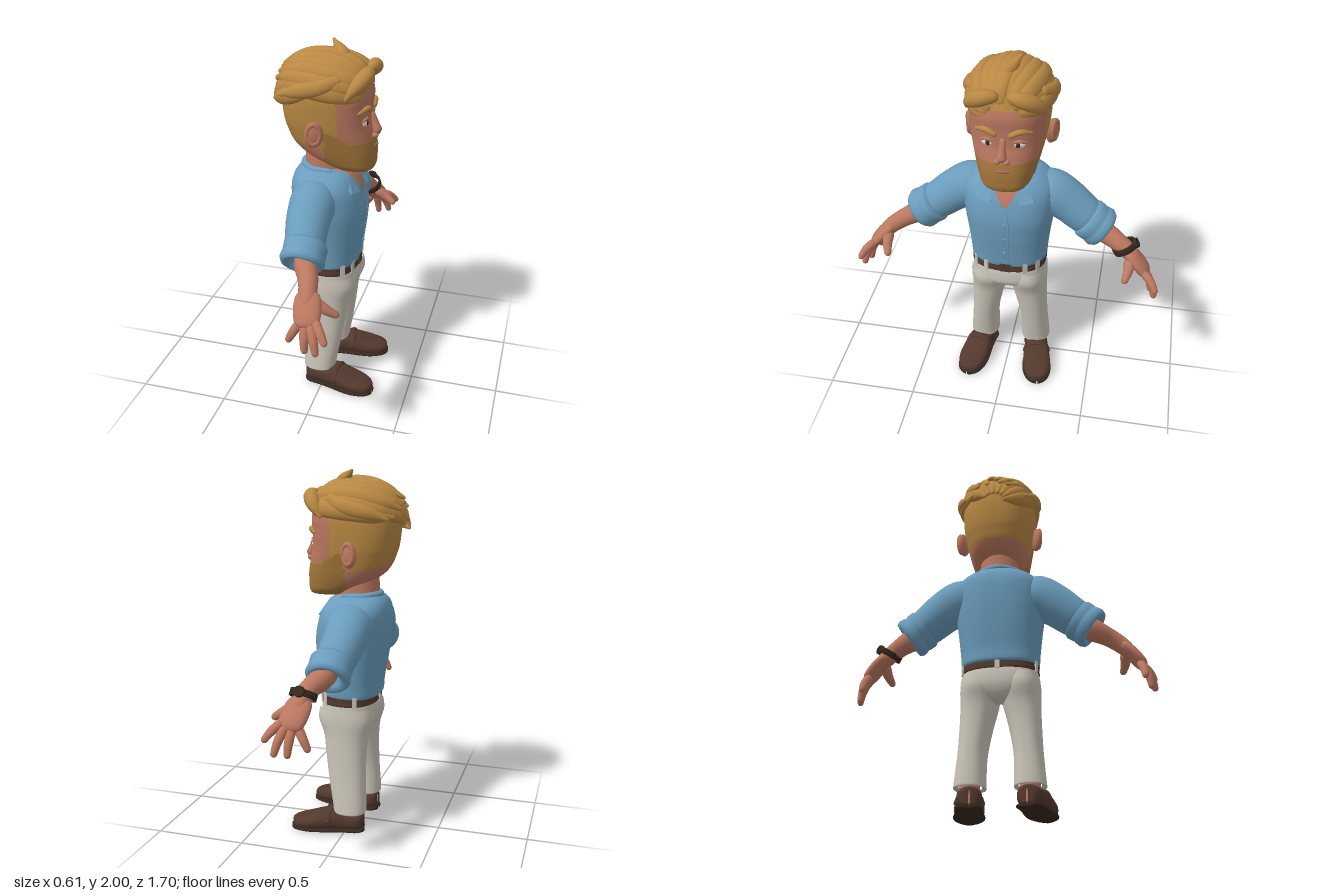
import * as THREE from 'three';
import { ConvexGeometry } from 'three/addons/geometries/ConvexGeometry.js';

const V = (x, y, z) => new THREE.Vector3(x, y, z);
const paint = (name, color) => Object.assign(new THREE.MeshStandardMaterial({ color }), { name });
const skin = paint('skin', 0xbb7860), hair = paint('hair', 0xb98843), beard = paint('beard', 0xa5773a);
const shirt = paint('shirt', 0x6b9dbd), trousers = paint('trousers', 0xcac5b9), leather = paint('leather', 0x53392d);
const dark = paint('dark', 0x35281f), white = paint('eyeWhite', 0xe6dfd8), lip = paint('lip', 0xa8635a);

// Closed-round surface: fn(u, angle) gives a point; pick(point) gives a material index
function surface(nu, nv, fn, pick = () => 0, parts = 1) {
  const pos = [], sets = Array.from({ length: parts }, () => []);
  for (let i = 0; i <= nu; i++)
    for (let j = 0; j < nv; j++) pos.push(...fn(i / nu, j / nv * Math.PI * 2).toArray());
  const at = k => V(pos[k * 3], pos[k * 3 + 1], pos[k * 3 + 2]);
  for (let i = 0; i < nu; i++) for (let j = 0; j < nv; j++) {
    const k = (j + 1) % nv, a = i * nv + j, b = a + nv, c = i * nv + k, d = c + nv;
    const mid = at(a).add(at(d)).multiplyScalar(0.5);
    sets[pick(mid)].push(a, b, c, c, b, d);
  }
  const g = new THREE.BufferGeometry();
  g.setAttribute('position', new THREE.Float32BufferAttribute(pos, 3));
  g.setIndex(sets.flat());
  let start = 0;
  if (parts > 1) sets.forEach((s, m) => { g.addGroup(start, s.length, m); start += s.length; });
  g.computeVertexNormals();
  return g;
}

// Smooth interpolation through rows of numbers
function sample(rows, u) {
  const n = rows.length - 1, f = Math.min(u * n, n - 1e-6), i = Math.floor(f), t = f - i;
  const r = k => rows[Math.max(0, Math.min(n, k))];
  return rows[0].map((_, q) => {
    const [a, b, c, d] = [r(i - 1)[q], r(i)[q], r(i + 1)[q], r(i + 2)[q]];
    return b + 0.5 * t * (c - a + t * (2 * a - 5 * b + 4 * c - d + t * (3 * (b - c) + d - a)));
  });
}
const sup = (v, p) => Math.sign(v) * Math.abs(v) ** (2 / p);

// Upright form from rows of [y, half width, back z, front z, centre x]
function loft(rows, { p = 2.3, nu = 30, nv = 40, s = 1, pick, parts } = {}) {
  return surface(nu, nv, (u, a) => {
    const [y, w, zb, zf, cx = 0] = sample(rows, u);
    return V(cx * s + w * sup(Math.cos(a), p), y, (zb + zf) / 2 + (zf - zb) / 2 * sup(Math.sin(a), p));
  }, pick, parts);
}

// Round-ended limb along a curve; wide stretches it sideways to ref
function limb(points, radii, { wide = 1, ref = () => V(0, 0.3, 1), nu = 18, nv = 14 } = {}) {
  const curve = new THREE.CatmullRomCurve3(points), len = curve.getLength(), rows = radii.map(r => [r]);
  return surface(nu, nv, (u, a) => {
    const t = (1 - Math.cos(u * Math.PI)) / 2, c = curve.getPointAt(t), T = curve.getTangentAt(t);
    const side = T.clone().cross(ref(c)).normalize(), up = side.clone().cross(T);
    let r = sample(rows, t)[0];
    const k = Math.min(1, Math.min(t, 1 - t) * len / r);
    r *= Math.sqrt(Math.max(1e-6, 1 - (1 - k) ** 2));
    return c.addScaledVector(side, Math.cos(a) * r * wide).addScaledVector(up, Math.sin(a) * r);
  });
}

export function createModel() {
  const model = new THREE.Group(), body = new THREE.Group();
  model.name = 'man'; body.name = 'body';
  body.rotation.y = Math.PI / 2;
  model.add(body);
  const add = (name, geo, mat, pos) => {
    const m = new THREE.Mesh(geo, mat);
    m.name = name;
    if (pos) m.position.set(...pos);
    body.add(m);
    return m;
  };
  const ball = (name, mat, pos, size) => {
    const m = add(name, new THREE.SphereGeometry(1, 24, 16), mat, pos);
    m.scale.set(...size);
    return m;
  };

  // Head with cropped sides and beard
  const headPick = q => {
    if (q.z > 0.01 && q.y < 1.505 + Math.max(0, 0.15 - q.z) * 0.6 && q.y > 1.3) return 2;
    if (q.y > 1.8 || (q.z < 0.085 && q.y > 1.47 + Math.max(0, -q.z) * 0.15)) return 1;
    return 0;
  };
  add('head', loft([[1.33, 0.01, 0.14, 0.17], [1.335, 0.09, 0.06, 0.23], [1.36, 0.128, 0, 0.247], [1.4, 0.148, -0.09, 0.25],
    [1.45, 0.165, -0.165, 0.25], [1.5, 0.178, -0.205, 0.242], [1.55, 0.19, -0.225, 0.232], [1.6, 0.2, -0.24, 0.222],
    [1.68, 0.208, -0.25, 0.222], [1.75, 0.21, -0.25, 0.225], [1.82, 0.2, -0.24, 0.205], [1.88, 0.16, -0.2, 0.16],
    [1.92, 0.1, -0.12, 0.1], [1.925, 0.01, -0.02, 0]], { p: 2.5, nu: 78, nv: 96, pick: headPick, parts: 3 }), [skin, hair, beard]);
  add('neck', new THREE.CylinderGeometry(0.11, 0.12, 0.26, 32), skin, [0, 1.32, -0.025]);
  add('nose', limb([V(0, 1.65, 0.215), V(0, 1.6, 0.235), V(0, 1.53, 0.256)], [0.016, 0.019, 0.029]), skin);
  add('mouth', limb([V(-0.06, 1.462, 0.231), V(0, 1.468, 0.247), V(0.06, 1.462, 0.231)], [0.007, 0.01, 0.007]), lip);
  for (const s of [-1, 1]) {
    ball('nostril', skin, [0.024 * s, 1.527, 0.243], [0.017, 0.015, 0.02]);
    ball('eye', white, [0.08 * s, 1.612, 0.205], [0.032, 0.019, 0.012]).rotation.y = 0.2 * s;
    ball('iris', dark, [0.077 * s, 1.612, 0.214], [0.013, 0.014, 0.006]).rotation.y = 0.2 * s;
    add('eyelid', limb([V(0.04 * s, 1.62, 0.212), V(0.08 * s, 1.634, 0.211), V(0.12 * s, 1.622, 0.196)], [0.006, 0.01, 0.006]), skin);
    add('eyebrow', limb([V(0.03 * s, 1.662, 0.222), V(0.085 * s, 1.69, 0.216), V(0.145 * s, 1.672, 0.178)], [0.015, 0.016, 0.008]), hair);
    const ear = ball('ear', skin, [0.215 * s, 1.57, -0.03], [0.024, 0.07, 0.05]);
    ear.rotation.y = -0.45 * s;
    const rim = add('earRim', new THREE.TorusGeometry(0.04, 0.012, 8, 24), skin, [0.228 * s, 1.575, -0.03]);
    rim.rotation.y = Math.PI / 2 - 0.35 * s;
    rim.scale.set(0.85, 1.3, 1);
  }

  // Swept-back hair: a cap with overlapping locks
  const cap = ball('hairCap', hair, [0, 1.765, -0.025], [0.218, 0.168, 0.25]);
  cap.geometry = new THREE.SphereGeometry(1, 40, 20, 0, Math.PI * 2, 0, 1.5);
  cap.material = hair;
  cap.rotation.x = -0.15;
  const centre = V(0, 1.76, -0.025), outward = c => c.clone().sub(centre);
  const over = (a, f, k) => V(0.208 * k * Math.sin(a) * Math.sin(f), 0.172 * k * Math.cos(a) * Math.sin(f), 0.25 * k * Math.cos(f)).add(centre);
  for (let i = 0; i < 11; i++) {
    const a = (i - 5) * 0.275, end = 2.66 + 0.12 * Math.sin(i * 2.4), lift = 1 + 0.03 * (i % 3);
    const path = [0.36, 0.75, 1.25, 1.8, 2.3, end].map((f, k) => over(a + (f - 1.5) * 0.18, f, [0.95, 1, 0.99, 0.99, 1, 1.06][k] * (k ? lift : 1)));
    add('hairLock', limb(path, [0.022, 0.03, 0.032, 0.03, 0.026, 0.008], { wide: 1.5, ref: outward, nu: 26 }), hair);
  }
  for (let i = 0; i < 7; i++) {
    const a = (i - 3) * 0.42;
    const path = [1.7, 2.15, 2.6, 2.9].map((f, k) => over(a - (f - 1.5) * 0.25, f, [0.97, 1, 1.03, 1.1][k]).add(V(0, -0.022 * k, 0)));
    add('backLock', limb(path, [0.03, 0.036, 0.03, 0.008], { wide: 1.4, ref: outward }), hair);
  }
  add('crownTuft', limb([V(-0.03, 1.92, 0.09), V(0.01, 1.95, 0.05), V(0.06, 2.0, -0.005)], [0.04, 0.032, 0.006], { ref: outward }), hair);
  for (const s of [-1, 1]) {
    add('fringe', limb([V(0.02 * s, 1.87, 0.2), V(0.09 * s, 1.865, 0.212), V(0.165 * s, 1.82, 0.175), V(0.2 * s, 1.755, 0.125)],
      [0.026, 0.042, 0.036, 0.008], { ref: outward }), hair);
    add('sideLock', limb([V(0.17 * s, 1.86, 0.1), V(0.215 * s, 1.82, 0), V(0.21 * s, 1.79, -0.12), V(0.17 * s, 1.75, -0.23)],
      [0.02, 0.028, 0.026, 0.006], { wide: 1.4, ref: outward }), hair);
  }

  // Shirt with an open neck
  add('shirt', loft([[0.775, 0.19, -0.14, 0.155], [0.785, 0.212, -0.155, 0.17], [0.85, 0.218, -0.16, 0.178], [0.92, 0.225, -0.172, 0.187],
    [1.0, 0.235, -0.185, 0.197], [1.1, 0.248, -0.197, 0.202], [1.2, 0.252, -0.202, 0.184], [1.26, 0.24, -0.198, 0.16],
    [1.305, 0.2, -0.18, 0.13], [1.335, 0.14, -0.145, 0.09], [1.34, 0.08, -0.1, 0.05]],
  { p: 2.4, nu: 70, nv: 120, pick: q => (q.z > 0.03 && q.y > 1.18 && Math.abs(q.x) < (q.y - 1.18) * 0.62 ? 1 : 0), parts: 2 }), [shirt, skin]);
  for (const y of [0.89, 0.99, 1.09]) ball('button', shirt, [0, y, 0.193 + (y - 0.99) * 0.07], [0.009, 0.009, 0.008]);
  add('placket', limb([V(0.022, 0.79, 0.17), V(0.022, 1, 0.197), V(0.022, 1.1, 0.202), V(0.01, 1.18, 0.19)], [0.003, 0.003, 0.003, 0.003]), shirt);
  for (const s of [-1, 1]) {
    const flap = [[0.13, 1.352, 0.02], [0.155, 1.235, 0.16], [0.078, 1.218, 0.185], [0.075, 1.32, 0.115]];
    add('collarFlap', new ConvexGeometry(flap.flatMap(([x, y, z]) => [V(x * s, y, z), V(x * s, y - 0.008, z - 0.016)])), shirt);
  }
  add('collarBand', limb([V(-0.125, 1.335, 0.04), V(-0.11, 1.337, -0.08), V(0, 1.34, -0.145), V(0.11, 1.337, -0.08), V(0.125, 1.335, 0.04)],
    [0.015, 0.018, 0.018, 0.018, 0.015], { ref: () => V(0, 1, 0), nu: 30 }), shirt);

  // Trousers, belt and loops
  add('hips', loft([[0.56, 0.02, -0.05, 0.05], [0.585, 0.1, -0.11, 0.1], [0.64, 0.195, -0.14, 0.165], [0.7, 0.21, -0.145, 0.172],
    [0.76, 0.205, -0.135, 0.16], [0.785, 0.19, -0.125, 0.15]], { p: 2.4 }), trousers);
  add('belt', loft([[0.738, 0.195, -0.125, 0.145], [0.74, 0.211, -0.143, 0.167], [0.77, 0.211, -0.142, 0.167],
    [0.8, 0.211, -0.142, 0.167], [0.802, 0.195, -0.125, 0.145]], { p: 2.4, nv: 60 }), leather);
  for (const a of [0.65, 1.1, 2.05, 2.5, 3.5, 4.71, 5.9]) {
    const x = 0.211 * sup(Math.cos(a), 2.4), z = 0.012 + 0.155 * sup(Math.sin(a), 2.4);
    add('beltLoop', new THREE.BoxGeometry(0.026, 0.075, 0.012), trousers, [x, 0.768, z]).rotation.y = Math.PI / 2 - a;
  }
  add('buckle', new THREE.BoxGeometry(0.06, 0.055, 0.012), leather, [0, 0.77, 0.168]);

  for (const s of [-1, 1]) {
    // Leg and ankle
    add('trouserLeg', loft([[0.125, 0.06, -0.09, 0.05, 0.155], [0.115, 0.083, -0.11, 0.07, 0.157], [0.15, 0.083, -0.112, 0.075, 0.156],
      [0.3, 0.078, -0.105, 0.1, 0.148], [0.45, 0.088, -0.105, 0.122, 0.131], [0.56, 0.101, -0.115, 0.138, 0.116],
      [0.65, 0.108, -0.14, 0.17, 0.111], [0.72, 0.1, -0.13, 0.16, 0.113]], { s }), trousers);
    add('ankle', new THREE.CylinderGeometry(0.055, 0.055, 0.14, 20), skin, [0.157 * s, 0.1, -0.03]);

    // Loafer: rows of [z, half width, height]
    const foot = new THREE.Group();
    foot.name = 'shoe';
    foot.position.set(0.163 * s, 0, 0);
    foot.rotation.y = 0.17 * s;
    const shoe = (name, rows, mat, base) => {
      const m = new THREE.Mesh(surface(30, 28, (u, a) => {
        const [z, w, h] = sample(rows, u);
        return V(-w * sup(Math.cos(a), 2.6), base + h / 2 * (1 + sup(Math.sin(a), 2.6)), z);
      }), mat);
      m.name = name;
      foot.add(m);
    };
    shoe('upper', [[-0.1, 0.005, 0.08], [-0.095, 0.04, 0.1], [-0.06, 0.065, 0.105], [0, 0.066, 0.105], [0.07, 0.072, 0.118], [0.14, 0.08, 0.098],
      [0.21, 0.081, 0.076], [0.27, 0.064, 0.062], [0.3, 0.035, 0.05], [0.306, 0.004, 0.04]], leather, 0.012);
    shoe('sole', [[-0.104, 0.005, 0.024], [-0.098, 0.045, 0.024], [-0.06, 0.07, 0.024], [0, 0.07, 0.024], [0.07, 0.075, 0.024], [0.14, 0.084, 0.024],
      [0.21, 0.085, 0.024], [0.275, 0.066, 0.024], [0.306, 0.035, 0.024], [0.312, 0.004, 0.024]], dark, 0);
    const strap = new THREE.Mesh(limb([V(-0.077, 0.06, 0.1), V(-0.05, 0.115, 0.095), V(0, 0.126, 0.09), V(0.05, 0.115, 0.095), V(0.077, 0.06, 0.1)],
      [0.01, 0.01, 0.01, 0.01, 0.01], { wide: 1.8, ref: c => V(c.x, c.y, 0) }), leather);
    strap.name = 'shoeStrap';
    foot.add(strap);
    body.add(foot);

    // Sleeve with rolled cuff
    const P = (x, y, z) => V(x * s, y, z);
    add('sleeve', limb([P(0.1, 1.2, -0.03), P(0.22, 1.185, -0.035), P(0.31, 1.135, -0.035), P(0.39, 1.075, -0.025), P(0.49, 1.0, -0.01)],
      [0.11, 0.124, 0.116, 0.107, 0.1], { nu: 26, nv: 28, wide: 1.02 }), shirt);
    const cuff = add('cuff', new THREE.LatheGeometry([[0.08, -0.066], [0.105, -0.064], [0.116, -0.045], [0.114, -0.008], [0.108, 0], [0.115, 0.008],
      [0.119, 0.04], [0.108, 0.06], [0.09, 0.062], [0.07, 0.05], [0.05, 0.02]].map(q => new THREE.Vector2(...q)), 36), shirt, [0.473 * s, 1.018, -0.01]);
    cuff.material = shirt;
    cuff.quaternion.setFromUnitVectors(V(0, 1, 0), P(0.8, -0.6, 0).normalize());

    // Forearm, palm and fingers
    add('forearm', limb([P(0.42, 1.03, 0), P(0.53, 0.985, 0.02), P(0.61, 0.952, 0.055), P(0.67, 0.91, 0.07), P(0.73, 0.85, 0.085)],
      [0.065, 0.064, 0.053, 0.047, 0.04], { nv: 20 }), skin);
    add('palm', limb([P(0.655, 0.925, 0.068), P(0.71, 0.875, 0.08), P(0.75, 0.83, 0.09), P(0.785, 0.785, 0.097)], [0.03, 0.036, 0.036, 0.03],
      { wide: 1.95, ref: () => P(1, 0.8, 0), nv: 20 }), skin);
    const fingers = [[[0.762, 0.825, 0.135], [0.81, 0.79, 0.175], [0.842, 0.742, 0.21]], [[0.775, 0.81, 0.115], [0.815, 0.745, 0.14], [0.836, 0.668, 0.16]],
      [[0.77, 0.8, 0.085], [0.802, 0.735, 0.09], [0.815, 0.66, 0.095]], [[0.755, 0.805, 0.06], [0.775, 0.75, 0.025], [0.78, 0.69, -0.005]]];
    for (const f of fingers) add('finger', limb(f.map(q => P(...q)), [0.025, 0.023, 0.017], { nv: 12 }), skin);
    add('thumb', limb([P(0.685, 0.885, 0.1), P(0.68, 0.845, 0.165), P(0.662, 0.805, 0.228)], [0.034, 0.027, 0.018], { ref: () => V(0, 1, 0) }), skin);
  }

  // Wristwatch
  const axis = V(0.5, -0.84, 0.12).normalize();
  const band = add('watchBand', new THREE.LatheGeometry([[0.058, -0.017], [0.07, -0.017], [0.07, 0.017], [0.058, 0.017], [0.058, -0.017]]
    .map(q => new THREE.Vector2(...q)), 32), dark, [0.648, 0.935, 0.068]);
  band.quaternion.setFromUnitVectors(V(0, 1, 0), axis);
  const dial = add('watchFace', new THREE.CylinderGeometry(0.027, 0.029, 0.016, 24), dark, [0.709, 0.971, 0.068]);
  dial.quaternion.setFromUnitVectors(V(0, 1, 0), V(0.86, 0.51, 0).normalize());
  return model;
}
